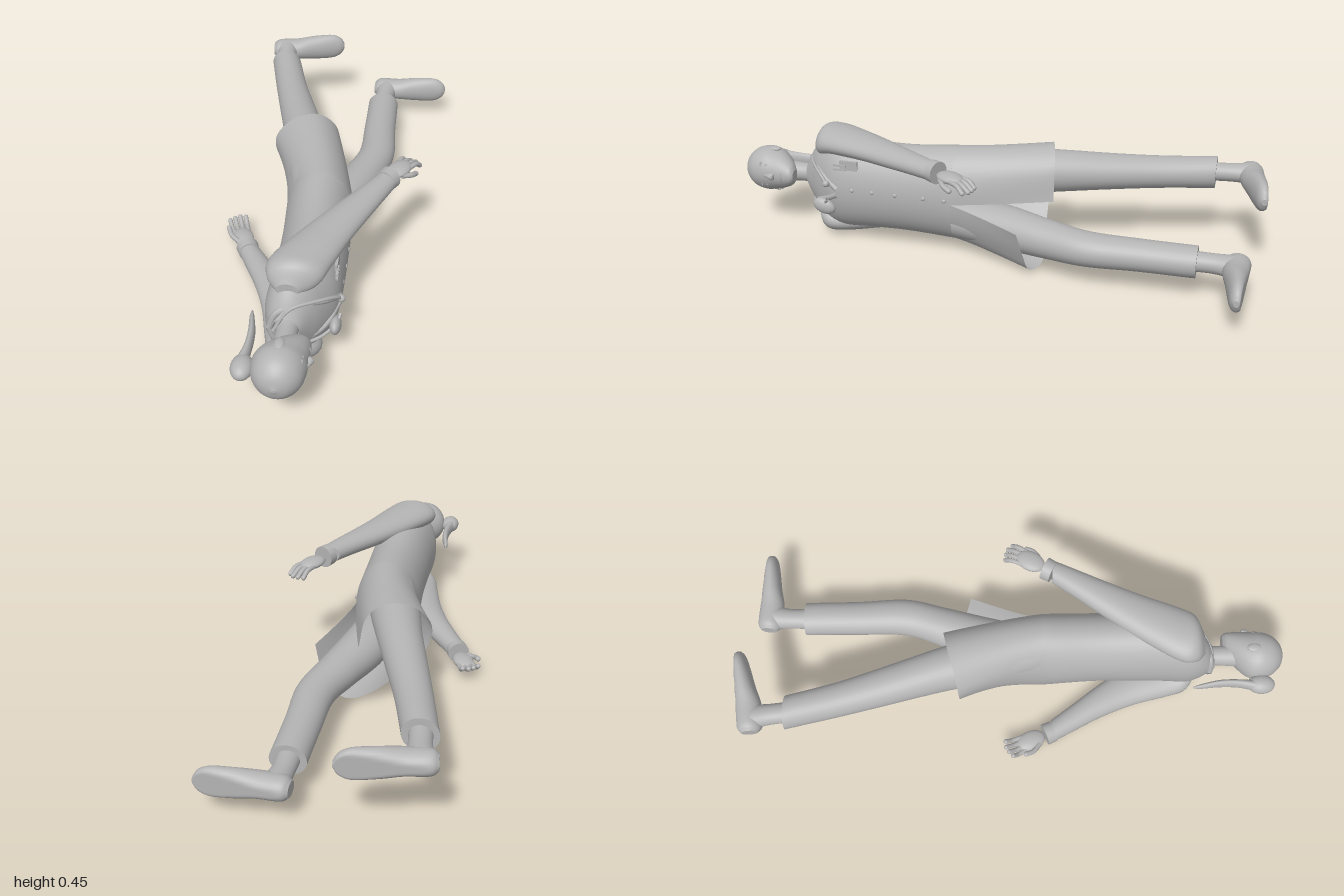
import * as THREE from 'three';

const V = (x, y, z) => new THREE.Vector3(x, y, z);
const MID = 0.222; // centre plane of the body (left is +y, up is +z, facing +x)

export function createModel() {
  const model = new THREE.Group();
  const clay = new THREE.MeshStandardMaterial({ color: 0xb4b4b4, side: THREE.DoubleSide });
  clay.name = 'plain grey';

  const add = (name, geo, parent = model) => {
    const m = new THREE.Mesh(geo, clay);
    m.name = name;
    parent.add(m);
    return m;
  };

  // indexed surface from rings of equal length
  function skin(rings, { closed = true, cap = false, flip = false } = {}) {
    const n = rings[0].length, pos = [], idx = [];
    const tri = (a, b, c) => idx.push(a, ...(flip ? [c, b] : [b, c]));
    rings.flat().forEach(p => pos.push(p.x, p.y, p.z));
    for (let i = 0; i < rings.length - 1; i++)
      for (let j = 0; j < (closed ? n : n - 1); j++) {
        const k = (j + 1) % n, a = i * n;
        tri(a + j, a + k, a + n + k);
        tri(a + j, a + n + k, a + n + j);
      }
    if (cap) [rings[0], rings[rings.length - 1]].forEach((ring, end) => {
      const base = pos.length / 3, c = V(0, 0, 0);
      ring.forEach(p => { pos.push(p.x, p.y, p.z); c.addScaledVector(p, 1 / n); });
      pos.push(c.x, c.y, c.z);
      for (let j = 0; j < n; j++) {
        const k = (j + 1) % n;
        if (end) tri(base + n, base + j, base + k); else tri(base + n, base + k, base + j);
      }
    });
    const g = new THREE.BufferGeometry();
    g.setAttribute('position', new THREE.Float32BufferAttribute(pos, 3));
    g.setIndex(idx);
    g.computeVertexNormals();
    return g;
  }

  // smooth loft through sections [x, y, z, radius across, radius y]
  function loft(secs, { axis = 'z', cap = true, steps = 28, sides = 32, rule = p => p } = {}) {
    const centre = new THREE.CatmullRomCurve3(secs.map(s => V(s[0], s[1], s[2])), false, 'catmullrom');
    const size = new THREE.CatmullRomCurve3(secs.map(s => V(s[3], s[4], 0)), false, 'catmullrom');
    const rings = [];
    for (let i = 0; i <= steps; i++) {
      const c = centre.getPoint(i / steps), r = size.getPoint(i / steps), ring = [];
      for (let j = 0; j < sides; j++) {
        const t = j / sides * Math.PI * 2, a = Math.cos(t) * r.x, b = Math.sin(t) * r.y;
        ring.push(rule(axis === 'z' ? V(c.x + a, c.y + b, c.z) : V(c.x, c.y + b, c.z + a)));
      }
      rings.push(ring);
    }
    const k = axis === 'z' ? 2 : 0;
    const falling = secs[secs.length - 1][k] < secs[0][k];
    return skin(rings, { cap, flip: falling !== (axis === 'x') });
  }
  const tube = (pts, r) =>
    new THREE.TubeGeometry(new THREE.CatmullRomCurve3(pts.map(p => V(...p))), 20, r, 8);
  const ball = (name, x, y, z, a, b, c, parent) => {
    const m = add(name, new THREE.SphereGeometry(1, 24, 16), parent);
    m.position.set(x, y, z);
    m.scale.set(a, b, c);
    return m;
  };
  const box = (name, x, y, z, a, b, c) => add(name, new THREE.BoxGeometry(a, b, c)).position.set(x, y, z);

  // coat body
  add('coatBody', loft([
    [-0.03, MID, 0.12, 0.122, 0.185], [-0.022, MID, 0.3, 0.118, 0.172], [-0.02, MID, 0.45, 0.118, 0.174],
    [-0.023, MID, 0.57, 0.116, 0.18], [-0.045, MID, 0.65, 0.096, 0.168], [-0.058, MID, 0.7, 0.07, 0.115],
    [-0.062, MID, 0.735, 0.045, 0.05],
  ], { cap: false, sides: 48 }));

  // coat skirt: split at the front, left half swinging back and right half forward
  const hem = new THREE.CatmullRomCurve3([
    [0.01, 0.245, -0.25], [-0.02, 0.37, -0.245], [-0.09, 0.42, -0.23], [-0.18, 0.4, -0.205],
    [-0.238, 0.33, -0.19], [-0.225, 0.24, -0.19], [-0.13, 0.13, -0.2], [-0.03, 0.04, -0.21],
    [0.05, 0.01, -0.22], [0.13, 0.02, -0.19], [0.165, 0.09, -0.175], [0.19, 0.185, -0.155],
  ].map(p => V(...p)));
  const skirt = [];
  for (let i = 0; i <= 12; i++) {
    const s = i / 12, ring = [];
    for (let j = 0; j <= 60; j++) {
      const t = j / 60 * Math.PI * 2;
      const top = V(-0.03 + 0.122 * Math.cos(t), MID + 0.185 * Math.sin(t), 0.12);
      const low = hem.getPointAt(j / 60), e = Math.pow(s, 1.2);
      ring.push(V(top.x + (low.x - top.x) * e, top.y + (low.y - top.y) * s, top.z + (low.z - top.z) * s));
    }
    skirt.push(ring);
  }
  add('coatSkirt', skin(skirt, { closed: false, flip: true }));

  // coat details
  for (const z of [0.5, 0.42, 0.33, 0.22, 0.14]) ball('button', 0.097, 0.237, z, 0.005, 0.008, 0.008);
  box('chestPocket', 0.078, 0.322, 0.515, 0.009, 0.05, 0.07);
  for (const y of [0.312, 0.328]) box('pen', 0.083, y, 0.55, 0.008, 0.007, 0.05);
  for (const s of [-1, 1]) {
    add('collar', tube([[-0.115, MID, 0.725], [-0.09, MID + s * 0.06, 0.72], [-0.02, MID + s * 0.075, 0.69],
      [0.05, MID + s * 0.055, 0.64], [0.092, MID + s * 0.01, 0.56]], 0.012));
    add('stethoscopeTube', tube([[-0.1, MID, 0.74], [-0.05, MID + s * 0.075, 0.72], [0.04, MID + s * 0.08, 0.67],
      [0.09, MID + s * 0.055, 0.62], [0.1, MID + s * 0.033, 0.6]], 0.006));
  }
  ball('stethoscopeKnob', 0.102, 0.256, 0.6, 0.013, 0.013, 0.013);
  ball('stethoscopeDisc', 0.085, 0.155, 0.62, 0.02, 0.03, 0.045).rotation.x = -0.35;

  // neck and head
  add('neck', loft([[-0.06, MID, 0.69, 0.046, 0.045], [-0.056, MID, 0.74, 0.036, 0.036],
    [-0.055, MID, 0.82, 0.04, 0.04]]));
  const HY = 0.225;
  add('head', loft([[-0.002, HY, 0.776, 0.024, 0.022], [-0.012, HY, 0.79, 0.042, 0.042],
    [-0.034, HY, 0.825, 0.066, 0.064], [-0.052, HY, 0.865, 0.083, 0.079], [-0.056, HY, 0.905, 0.087, 0.087],
    [-0.056, HY, 0.95, 0.075, 0.076], [-0.056, HY, 0.983, 0.045, 0.046], [-0.056, HY, 0.998, 0.005, 0.005]], { steps: 36 }));
  add('nose', loft([[0.034, HY, 0.85, 0.006, 0.012], [0.032, HY, 0.86, 0.016, 0.014],
    [0.027, HY, 0.88, 0.01, 0.008], [0.024, HY, 0.9, 0.004, 0.006]], { steps: 10, sides: 16 }));
  ball('mouth', 0.028, HY, 0.823, 0.007, 0.022, 0.006);
  for (const s of [-1, 1]) {
    ball('eye', 0.017, HY + s * 0.034, 0.886, 0.006, 0.014, 0.007);
    ball('brow', 0.018, HY + s * 0.035, 0.908, 0.005, 0.018, 0.004);
    ball('ear', -0.055, HY + s * 0.083, 0.878, 0.016, 0.008, 0.026);
  }
  // ponytail
  ball('hairBun', -0.168, HY, 0.91, 0.036, 0.031, 0.05);
  add('ponytail', loft([[-0.175, HY, 0.9, 0.02, 0.026], [-0.165, HY, 0.83, 0.014, 0.026],
    [-0.165, HY, 0.76, 0.012, 0.024], [-0.176, HY, 0.69, 0.008, 0.014], [-0.18, HY, 0.66, 0.002, 0.003]]));

  // arms and hands: s is the body side, f is the swing direction
  function arm(name, s, path, wrist, dir) {
    const g = new THREE.Group();
    g.name = name;
    model.add(g);
    add('sleeve', loft(path.map(([x, z, r, ry, off]) => [x, MID + s * off, z, r, ry])), g);
    const y = MID + s * 0.182, d = V(dir[0], 0, dir[1]).normalize(), f = Math.sign(d.x);
    const p = V(-d.z * f, 0, d.x * f).multiplyScalar(f); // across the palm
    const at = (along, across, inward) => {
      const q = V(wrist[0], y - s * inward, wrist[1]).addScaledVector(d, along).addScaledVector(p, across);
      return [q.x, q.y, q.z];
    };
    const cuff = add('cuff', new THREE.CylinderGeometry(0.041, 0.039, 0.035, 24), g);
    cuff.position.set(...at(-0.01, 0, 0));
    cuff.quaternion.setFromUnitVectors(V(0, 1, 0), d);
    const palm = ball('palm', ...at(0.065, 0, 0), 0.038, 0.055, 0.018, g);
    palm.quaternion.setFromRotationMatrix(new THREE.Matrix4().makeBasis(p, d, V().crossVectors(p, d)));
    const digit = (n, a, b, c, r) => {
      add(n, tube([a, b, c], r), g);
      ball(n + 'Tip', ...c, r, r, r, g);
    };
    for (let i = 0; i < 4; i++) {
      const w = (i - 1.5) * 0.017, len = 0.165 - Math.abs(i - 1.7) * 0.008;
      digit('finger', at(0.09, w, 0), at(0.13, w * 1.15, 0.004), at(len, w * 1.2, 0.022), 0.0088);
    }
    digit('thumb', at(0.04, f * 0.025, 0.005), at(0.075, f * 0.044, 0.014), at(0.105, f * 0.045, 0.024), 0.0095);
  }
  arm('leftArm', 1, [[-0.06, 0.69, 0.035, 0.025, 0.13], [-0.045, 0.655, 0.085, 0.055, 0.155],
    [-0.03, 0.59, 0.1, 0.052, 0.166], [0.03, 0.46, 0.086, 0.045, 0.172], [0.095, 0.34, 0.07, 0.041, 0.176],
    [0.155, 0.235, 0.055, 0.037, 0.18], [0.205, 0.145, 0.043, 0.034, 0.182]], [0.215, 0.125], [0.46, -0.85]);
  arm('rightArm', -1, [[-0.06, 0.69, 0.035, 0.025, 0.13], [-0.055, 0.655, 0.085, 0.055, 0.155],
    [-0.062, 0.59, 0.098, 0.052, 0.166], [-0.11, 0.46, 0.082, 0.045, 0.172], [-0.172, 0.34, 0.066, 0.041, 0.176],
    [-0.238, 0.235, 0.053, 0.037, 0.18], [-0.295, 0.145, 0.043, 0.034, 0.182]], [-0.303, 0.13], [-0.4, -0.9]);

  // legs and shoes
  function leg(name, path, ankle, heel, tilt) {
    const g = new THREE.Group();
    g.name = name;
    model.add(g);
    add('trouserLeg', loft(path), g);
    add('ankle', loft(ankle), g);
    const shoe = add('shoe', loft([[0, 0, 0.045, 0.03, 0.024], [0.025, 0, 0.045, 0.045, 0.04],
      [0.1, 0, 0.042, 0.046, 0.043], [0.17, 0, 0.03, 0.038, 0.052], [0.25, 0, 0.018, 0.03, 0.054],
      [0.288, 0, 0.014, 0.022, 0.038], [0.305, 0, 0.012, 0.01, 0.012]],
      { axis: 'x', rule: p => { p.z = Math.max(p.z, 0); return p; } }), g);
    shoe.position.set(...heel);
    shoe.rotation.y = tilt;
  }
  leg('leftLeg', [[-0.04, 0.305, 0.12, 0.09, 0.085], [-0.09, 0.308, -0.08, 0.092, 0.088],
    [-0.135, 0.308, -0.25, 0.082, 0.078], [-0.195, 0.303, -0.45, 0.072, 0.066],
    [-0.245, 0.3, -0.62, 0.064, 0.06], [-0.292, 0.3, -0.805, 0.06, 0.06]],
  [[-0.29, 0.302, -0.78, 0.038, 0.034], [-0.3, 0.302, -0.86, 0.038, 0.034], [-0.31, 0.302, -0.92, 0.045, 0.038]],
  [-0.37, 0.298, -0.97], 0.1);
  leg('rightLeg', [[-0.01, 0.135, 0.12, 0.09, 0.08], [0.035, 0.133, -0.08, 0.09, 0.08],
    [0.09, 0.133, -0.25, 0.078, 0.07], [0.132, 0.135, -0.4, 0.07, 0.062],
    [0.13, 0.135, -0.58, 0.064, 0.057], [0.128, 0.135, -0.785, 0.062, 0.056]],
  [[0.128, 0.137, -0.76, 0.04, 0.036], [0.128, 0.137, -0.84, 0.038, 0.035], [0.135, 0.137, -0.91, 0.046, 0.04]],
  [0.085, 0.136, -0.97], -0.083);

  return model;
}
